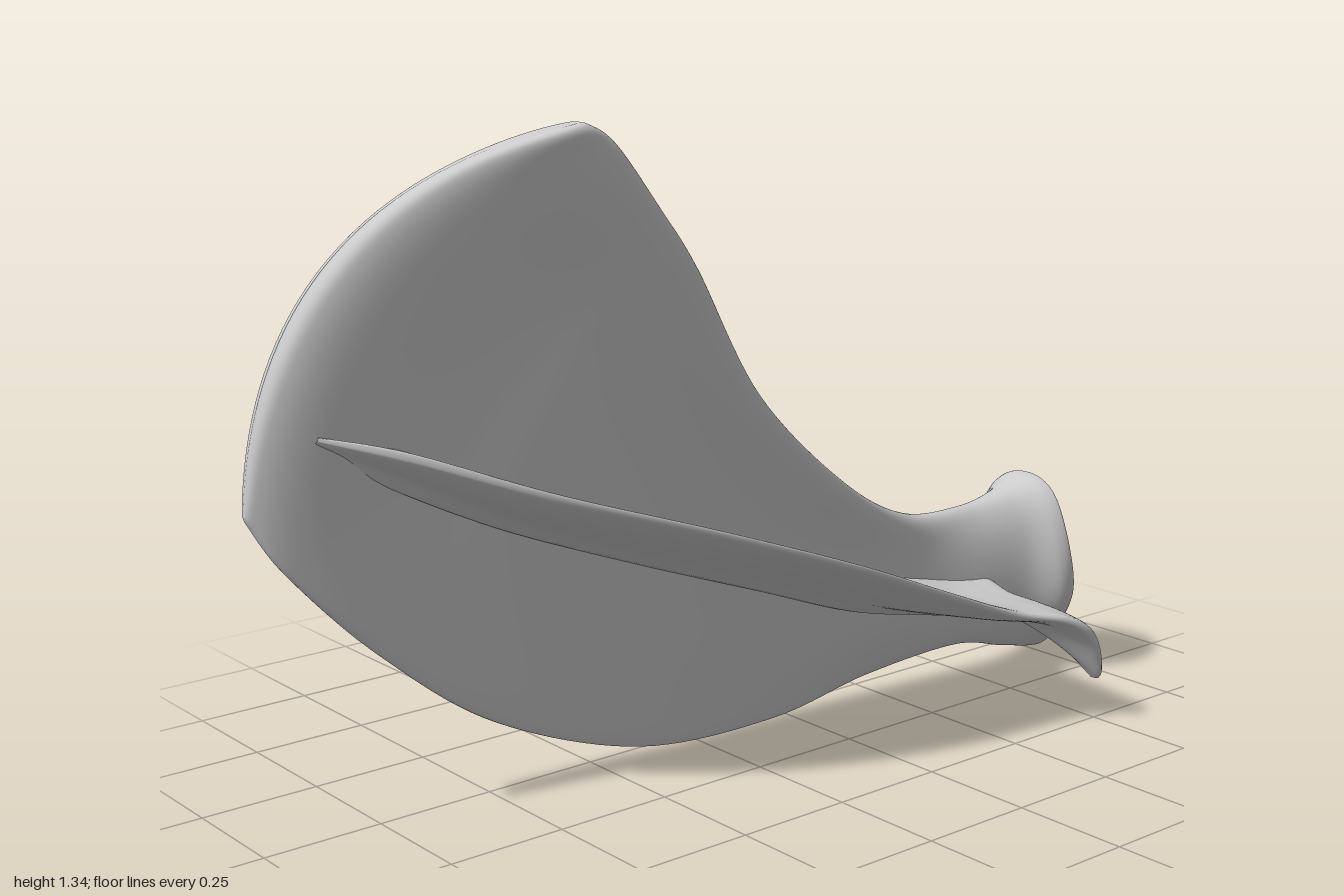
import * as THREE from 'three';

const material = new THREE.MeshStandardMaterial({ color: 0xcccccc, side: THREE.DoubleSide });

// Smooth interpolation of a table of cross-section stations, u in 0..1
function sample(rows, u) {
  const f = u * (rows.length - 1);
  const i = Math.min(Math.floor(f), rows.length - 2);
  const k = f - i;
  const row = (n) => rows[Math.max(0, Math.min(rows.length - 1, n))];
  return rows[0].map((_, c) => {
    const [p0, p1, p2, p3] = [-1, 0, 1, 2].map((d) => row(i + d)[c]);
    const m1 = (p2 - p0) / 2, m2 = (p3 - p1) / 2;
    return p1 + k * (m1 + k * (3 * (p2 - p1) - 2 * m1 - m2 + k * (2 * (p1 - p2) + m1 + m2)));
  });
}

// Closed loops around a centre sheet: section(row, t) gives the sheet point and half thickness
function loft(name, rows, steps, sides, normal, section) {
  const pos = [], index = [];
  for (let i = 0; i <= steps; i++) {
    const row = sample(rows, i / steps);
    for (let j = 0; j < sides; j++) {
      const a = (j / sides) * Math.PI * 2;
      const { point, half, power } = section(row, (1 - Math.cos(a)) / 2);
      const s = Math.sin(a);
      const off = Math.sign(s) * Math.pow(Math.abs(s), power) * Math.max(half, 0);
      point.addScaledVector(normal, off);
      pos.push(point.x, point.y, point.z);
      if (i < steps) {
        const j2 = (j + 1) % sides;
        const p = i * sides + j, q = i * sides + j2;
        index.push(p, p + sides, q, q, p + sides, q + sides);
      }
    }
  }
  const geo = new THREE.BufferGeometry();
  geo.setAttribute('position', new THREE.Float32BufferAttribute(pos, 3));
  geo.setIndex(index);
  geo.computeVertexNormals();
  const mesh = new THREE.Mesh(geo, material);
  mesh.name = name;
  return mesh;
}

// Thickness that differs at both borders and in the middle
function borders(t, first, mid, last) {
  return mid + (first - mid) * Math.exp(-((t / 0.15) ** 2))
    + (last - mid) * Math.exp(-(((1 - t) / 0.2) ** 2));
}

// Socket, neck and flaring blade, from the joint to the far rim
// upper z,y | lower z,y | bulge | upper x, lower x, sag | half thickness upper, mid, lower | roundness
const bladeRows = [
  [-0.885, 0.3, -0.885, 0.3, 0, -0.095, -0.1, 0, 0, 0, 0, 1],
  [-0.875, 0.41, -0.94, 0.15, 0.025, -0.095, -0.11, 0, 0.085, 0.085, 0.05, 1],
  [-0.888, 0.463, -0.995, 0.1, 0.035, -0.09, -0.11, 0, 0.145, 0.135, 0.065, 0.9],
  [-0.865, 0.468, -0.955, 0.04, 0.03, -0.09, -0.11, 0, 0.145, 0.135, 0.085, 0.9],
  [-0.8, 0.44, -0.84, 0.055, 0, -0.095, -0.115, 0, 0.09, 0.09, 0.08, 0.9],
  [-0.68, 0.42, -0.68, 0.09, 0, -0.1, -0.12, 0, 0.06, 0.065, 0.06, 0.9],
  [-0.5, 0.435, -0.45, 0.055, 0, -0.095, -0.17, 0, 0.055, 0.045, 0.035, 0.7],
  [-0.3, 0.54, -0.2, 0.003, 0, -0.083, -0.2, -0.01, 0.048, 0.03, 0.025, 0.5],
  [-0.05, 0.765, 0.15, 0.02, 0.04, -0.066, -0.212, -0.022, 0.044, 0.025, 0.02, 0.5],
  [0.13, 1.045, 0.5, 0.155, 0.09, -0.042, -0.218, -0.035, 0.044, 0.022, 0.02, 0.5],
];
// Thickened outer rim of the blade, bulbous at its top corner
const rimRows = [
  [0.22, 1.165, 0.75, 0.345, 0.125, -0.037, -0.228, -0.045, 0.045, 0.022, 0.02, 0.5],
  [0.32, 1.295, 0.92, 0.525, 0.16, -0.045, -0.248, -0.04, 0.055, 0.042, 0.028, 0.5],
  [0.38, 1.335, 0.985, 0.63, 0.175, -0.055, -0.265, -0.035, 0.055, 0.036, 0.025, 0.4],
  [0.395, 1.335, 0.995, 0.655, 0.18, -0.057, -0.267, -0.035, 0, 0, 0, 0.4],
];

function bladeSection([cz, cy, dz, dy, bulge, cx, dx, sag, hC, hM, hD, power], t) {
  const vz = dz - cz, vy = dy - cy;
  const len = Math.hypot(vz, vy) || 1;
  const arch = 4 * t * (1 - t);
  const out = (bulge * arch) / len;
  const point = new THREE.Vector3(
    cx + (dx - cx) * t + sag * arch,
    cy + vy * t + out * vz,
    cz + vz * t - out * vy
  );
  return { point, half: borders(t, hC, hM, hD), power };
}

// Raised ridge across the blade ending in a drooping hook
// root x,y,z | crest x,y,z | bow | half thickness root, mid, crest
const ridgeRows = [
  [-0.1, 0.21, -0.73, 0.215, 0.075, -0.78, 0.035, 0.01, 0.006, 0.003],
  [-0.1, 0.21, -0.715, 0.255, 0.1, -0.765, 0.03, 0.03, 0.02, 0.02],
  [-0.1, 0.215, -0.69, 0.288, 0.2, -0.7, 0.015, 0.035, 0.022, 0.022],
  [-0.1, 0.22, -0.64, 0.275, 0.25, -0.63, 0, 0.035, 0.022, 0.016],
  [-0.11, 0.24, -0.55, 0.22, 0.275, -0.52, -0.01, 0.035, 0.02, 0.015],
  [-0.13, 0.285, -0.35, 0.2, 0.345, -0.35, -0.02, 0.037, 0.018, 0.014],
  [-0.15, 0.375, -0.1, 0.18, 0.45, -0.1, -0.02, 0.037, 0.016, 0.014],
  [-0.17, 0.485, 0.2, 0.125, 0.56, 0.2, -0.02, 0.037, 0.016, 0.014],
  [-0.18, 0.605, 0.5, 0.03, 0.66, 0.5, -0.015, 0.037, 0.017, 0.015],
  [-0.2, 0.715, 0.74, -0.095, 0.75, 0.74, 0, 0.03, 0.017, 0.015],
  [-0.215, 0.78, 0.88, -0.19, 0.79, 0.88, 0, 0.008, 0.007, 0.006],
];

// Section whose foot flares into the blade
function ridgeSection([rx, ry, rz, kx, ky, kz, bow, hR, hM, hK], t) {
  const point = new THREE.Vector3(rx, ry, rz).lerp(new THREE.Vector3(kx, ky, kz), t);
  point.y += bow * 4 * t * (1 - t);
  const flare = 0.7 * hR * Math.exp(-(((t - 0.1) / 0.15) ** 2));
  return { point, half: borders(t, hR, hM, hK) + flare, power: 0.5 };
}

export function createModel() {
  const group = new THREE.Group();
  group.name = 'shoulderBlade';
  const ridgeNormal = new THREE.Vector3(0.1, 0.93, -0.34);
  group.add(
    loft('bladeAndSocket', [...bladeRows, ...rimRows], 130, 96, new THREE.Vector3(1, 0, 0), bladeSection),
    loft('ridge', ridgeRows, 80, 48, ridgeNormal, ridgeSection)
  );
  return group;
}
